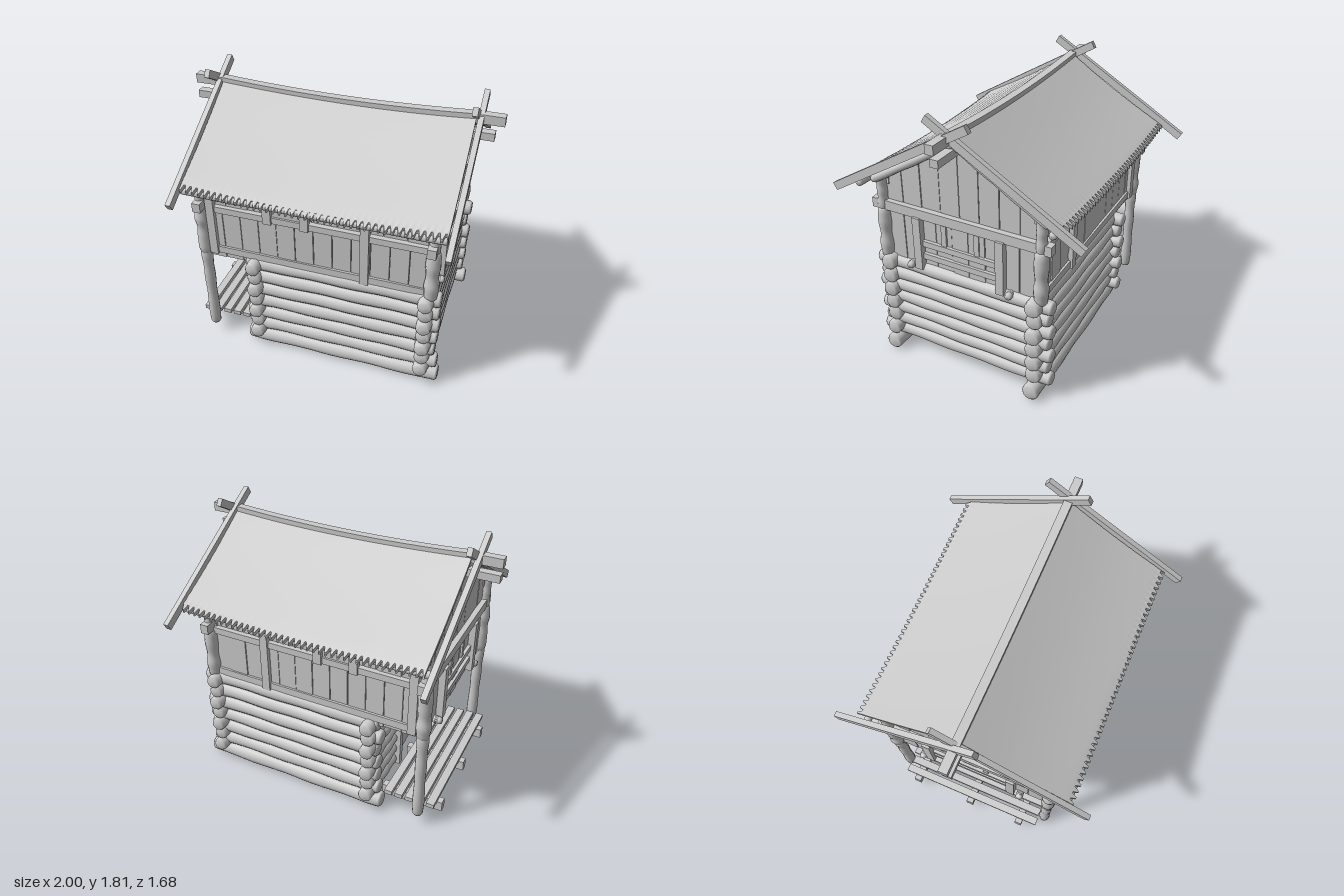
import * as THREE from 'three';

const mat = new THREE.MeshStandardMaterial({ color: 0xcccccc, side: THREE.DoubleSide });
const V = (x, y, z) => new THREE.Vector3(x, y, z);
let seed = 7;
const rnd = () => (seed = (seed * 16807) % 2147483647) / 2147483647;

export function createModel() {
  const root = new THREE.Group();
  const group = (name) => {
    const g = new THREE.Group();
    g.name = name;
    root.add(g);
    return g;
  };
  const add = (parent, geo, name) => {
    const m = new THREE.Mesh(geo, mat);
    m.name = name;
    parent.add(m);
    return m;
  };
  const box = (parent, name, x, y, z, w, h, d) => {
    const m = add(parent, new THREE.BoxGeometry(w, h, d), name);
    m.position.set(x, y, z);
    return m;
  };

  // Slightly uneven round log with rounded ends, from a to b
  const log = (parent, name, a, b, r, knob = 0) => {
    const len = a.distanceTo(b), n = 16, p = rnd() * 6, pts = [new THREE.Vector2(0.0001, 0)];
    pts.push(new THREE.Vector2(r * 0.75, 0.002), new THREE.Vector2(r * 0.95, 0.015));
    for (let i = 1; i < n; i++) {
      const t = i / n, end = Math.min(t, 1 - t) * len;
      const swell = knob * Math.exp(-Math.pow((end - 0.07) / 0.05, 2));
      pts.push(new THREE.Vector2(r * (1 + 0.05 * Math.sin(t * 17 + p) + swell), 0.02 + t * (len - 0.04)));
    }
    pts.push(new THREE.Vector2(r * 0.95, len - 0.015), new THREE.Vector2(r * 0.75, len - 0.002), new THREE.Vector2(0.0001, len));
    const m = add(parent, new THREE.LatheGeometry(pts, 14), name);
    m.position.copy(a);
    m.quaternion.setFromUnitVectors(V(0, 1, 0), b.clone().sub(a).normalize());
    return m;
  };

  // Row of upright planks along x, or along z when side is true
  const planks = (parent, name, side, at, a, b, n, y0, top) => {
    const w = (b - a) / n;
    for (let i = 0; i < n; i++) {
      const u0 = a + i * w + 0.002, u1 = a + (i + 1) * w - 0.002, mid = (u0 + u1) / 2;
      const low = y0 - rnd() * 0.012;
      const s = new THREE.Shape();
      s.moveTo(u0, low);
      s.lineTo(u1, low);
      s.lineTo(u1, top(u1));
      if (u0 < 0.01 && u1 > 0.01) s.lineTo(mid, top(0.01));
      s.lineTo(u0, top(u0));
      const g = new THREE.ExtrudeGeometry(s, { depth: 0.03, bevelEnabled: false });
      g.translate(0, 0, -0.015);
      const m = add(parent, g, name), off = at + (rnd() - 0.5) * 0.006;
      if (side) {
        m.rotation.y = -Math.PI / 2;
        m.position.x = off;
      } else m.position.z = off;
    }
  };

  // Log storey: stacked walls crossing at the corners
  const logs = group('logWalls');
  for (const z of [0.54, -0.5]) {
    log(logs, 'sillLog', V(-0.51, 0.06, z), V(0.83, 0.06, z), 0.058);
    for (let i = 1; i < 7; i++) {
      const j = (rnd() - 0.5) * 0.03;
      log(logs, 'longLog', V(-0.49 + j, 0.067 + i * 0.104, z), V(0.805 + j, 0.067 + i * 0.104, z), 0.054, 0.06);
    }
  }
  for (let i = 0; i < 7; i++) {
    const y = 0.14 + i * 0.091, e = (i % 2) * 0.02;
    log(logs, 'crossLog', V(0.72, y, -0.61 + e), V(0.72, y, 0.65 - e), 0.049, 0.06);
    if (i === 6) log(logs, 'crossLog', V(-0.42, y, -0.61), V(-0.42, y, 0.65), 0.049, 0.06);
    else {
      log(logs, 'crossLog', V(-0.42, y, -0.61 + e), V(-0.42, y, -0.15), 0.049);
      log(logs, 'crossLog', V(-0.42, y, 0.19), V(-0.42, y, 0.65 - e), 0.049);
    }
  }

  // Door under the overhang
  const door = group('door');
  for (const z of [-0.15, 0.19]) box(door, 'doorPost', -0.43, 0.37, z, 0.12, 0.54, 0.045);
  box(door, 'doorLintel', -0.43, 0.62, 0.02, 0.12, 0.045, 0.38);
  planks(door, 'doorPlank', true, -0.42, -0.13, 0.17, 3, 0.12, () => 0.61);

  // Porch deck
  const deck = group('deck');
  for (const z of [0.41, 0.02, -0.41]) box(deck, 'deckJoist', -0.69, 0.1, z, 0.42, 0.07, 0.05).rotation.z = -0.03;
  for (let i = 0; i < 5; i++) {
    const m = box(deck, 'deckBoard', -0.84 + i * 0.072, 0.155, 0.01 + (rnd() - 0.5) * 0.03, 0.052, 0.03, 1.04);
    m.rotation.z = (rnd() - 0.5) * 0.08;
  }

  // Posts: porch legs and the four upper corners
  const posts = group('posts');
  for (const z of [0.57, -0.53]) {
    log(posts, 'porchPost', V(-0.77, 0.08, z), V(-0.77, 0.76, z), 0.036, 0.12);
    for (const x of [-0.77, 0.74]) {
      log(posts, 'cornerPost', V(x, 0.71, z), V(x, 1.08, z), 0.042, 0.15);
      log(posts, 'cornerPostTop', V(x, 1.04, z), V(x, 1.32, z), 0.033, 0.05);
    }
  }

  // Plank storey
  const walls = group('plankWalls');
  box(walls, 'upperFloor', -0.015, 0.735, 0.02, 1.47, 0.03, 1.06);
  for (const s of [1, -1]) {
    const z = 0.02 + s * 0.53, out = z + s * 0.025;
    planks(walls, 'lowerPlank', false, z, -0.75, 0.72, 12, 0.7, () => 1.06);
    planks(walls, 'upperPlank', false, z - s * 0.02, -0.75, 0.72, 10, 1.04, () => 1.29);
    box(walls, 'bottomRail', -0.015, 0.755, z + s * 0.008, 1.44, 0.05, 0.04);
    box(walls, 'middleRail', -0.015, 1.07, z + s * 0.005, 1.5, 0.045, 0.045);
    box(walls, 'wallPlate', -0.015, 1.27, z, 1.5, 0.06, 0.06);
    for (const x of [-0.7, 0.32]) box(walls, 'longBatten', x, 0.975, out, 0.055, 0.5, 0.035);
    for (const x of [-0.31, -0.065]) box(walls, 'windowPost', x, 1.14, out, 0.055, 0.19, 0.035);
    box(walls, 'windowRail', -0.19, 1.205, out, 0.22, 0.025, 0.025);
    box(walls, 'windowShutter', -0.19, 1.13, z + s * 0.005, 0.2, 0.11, 0.02);
  }

  // Gable ends with framed hatches
  const gables = group('gables');
  for (const s of [1, -1]) {
    const x = -0.015 + s * 0.735, out = x + s * 0.025;
    planks(gables, 'lowerGablePlank', true, x, -0.5, 0.54, 9, 0.71, () => 1.09);
    planks(gables, 'upperGablePlank', true, x - s * 0.008, -0.52, 0.56, 8, 1.07, (z) => 1.64 - 0.59 * Math.abs(z - 0.01));
    box(gables, 'gableBeam', out - s * 0.01, 1.1, 0.02, 0.055, 0.065, 1.24);
    for (const z of [0.31, -0.27]) box(gables, 'hatchPost', out + s * 0.01, 0.89, z, 0.045, 0.37, 0.055);
    for (const y of [0.8, 0.89]) box(gables, 'hatchRail', out - s * 0.005, y, 0.02, 0.03, 0.04, 0.54);
    for (const z of [0.13, -0.1]) box(gables, 'hatchStile', out - s * 0.008, 0.98, z, 0.02, 0.15, 0.035);
    for (const z of [0.375, -0.33]) log(gables, 'peg', V(x, 0.715, z), V(x + s * 0.07, 0.715, z), 0.024);
  }

  // Sagging roof slopes with a toothed eave
  const roof = group('roof');
  const sag = (x) => 0.03 * (x / 0.82) ** 2;
  for (const s of [1, -1]) {
    const g = new THREE.BoxGeometry(1.64, 0.025, 1, 164, 1, 24), p = g.attributes.position;
    for (let i = 0; i < p.count; i++) {
      const x = p.getX(i) + 0.01, t = 0.5 + s * p.getZ(i);
      const col = Math.round((p.getX(i) + 0.82) * 100) % 4;
      const run = t * 0.68 + (t > 0.99 && col < 2 ? 0.03 : 0);
      const y = 1.665 + sag(x) - 0.59 * run - 0.015 * Math.sin(Math.PI * t) + 0.002 * Math.sin(t * 75 + 3 * x);
      p.setXYZ(i, x, y + p.getY(i), 0.01 + s * run);
    }
    g.computeVertexNormals();
    add(roof, g, 'roofSlope');
    // Eave purlin, gable rafters and crossed barge poles
    log(roof, 'eavePurlin', V(-0.83, 1.25, 0.025 + s * 0.655), V(0.83, 1.25, 0.025 + s * 0.655), 0.025);
    for (const e of [1, -1]) {
      const rx = e * 0.77;
      log(roof, 'rafter', V(rx, 1.635, 0.01), V(rx, 1.27, 0.01 + s * 0.6), 0.028);
      const bx = e * 0.845 + s * 0.013;
      const pole = box(roof, 'bargePole', bx, 1.5, s * 0.34, 0.034, 0.052, 1.125);
      pole.rotation.x = s * Math.atan(0.59);
    }
  }

  // Ridge beam bent with the roof, and the purlin below it
  const ridge = new THREE.BoxGeometry(2, 0.06, 0.055, 20, 1, 1), rp = ridge.attributes.position;
  for (let i = 0; i < rp.count; i++) rp.setY(i, rp.getY(i) + 1.66 + Math.min(sag(rp.getX(i)), 0.03));
  ridge.translate(0, 0, 0.01);
  ridge.computeVertexNormals();
  add(roof, ridge, 'ridgeBeam');
  box(roof, 'ridgePurlin', -0.02, 1.585, 0.02, 1.94, 0.05, 0.055);
  return root;
}
